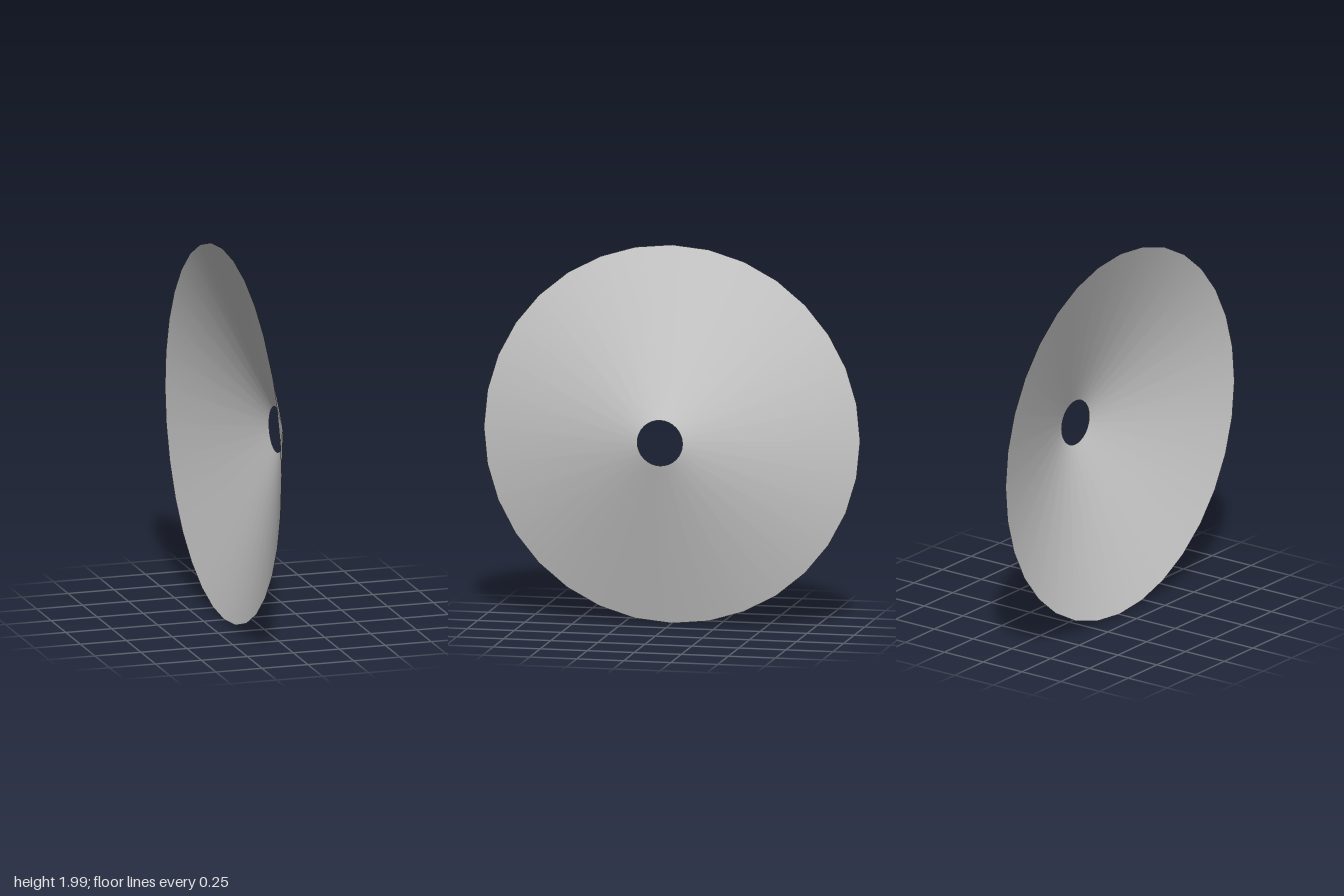
import * as THREE from 'three';

export function createModel() {
  const model = new THREE.Group();

  // Thin open cone with a round hole at its tip, its axis along +x
  const geometry = new THREE.CylinderGeometry(0.12, 1, 0.287, 32, 1, true);
  geometry.rotateZ(-Math.PI / 2);
  geometry.scale(1, 0.996, 1);

  const dish = new THREE.Mesh(
    geometry,
    new THREE.MeshStandardMaterial({ color: 0xcccccc, side: THREE.DoubleSide })
  );
  dish.name = 'conicalDish';
  dish.position.set(0, 1.004, 0);
  dish.rotation.z = 0.005; // slight lean
  model.add(dish);

  return model;
}
